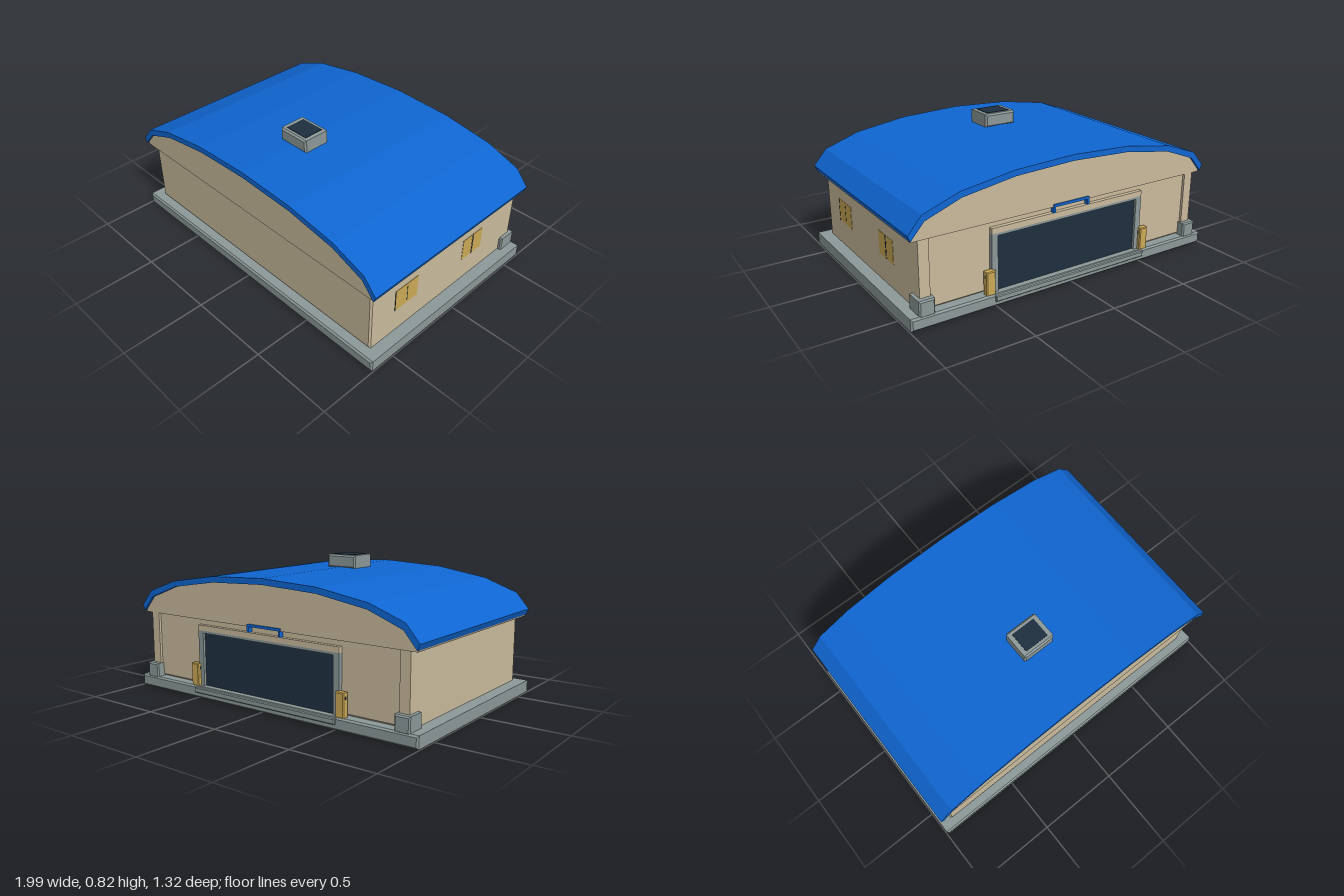
import * as THREE from 'three';

const mat = (name, color) => {
  const m = new THREE.MeshStandardMaterial({ color });
  m.name = name;
  return m;
};

export function createModel() {
  const root = new THREE.Group();
  root.name = 'hall';
  const beige = mat('beige wall', 0xc9ba9c);
  const grey = mat('concrete grey', 0x8c9898);
  const blue = mat('roof blue', 0x0f66d2);
  const dark = mat('dark glass', 0x1f2f3f);
  const yellow = mat('amber', 0xcba855);

  const add = (name, geometry, material) => {
    const mesh = new THREE.Mesh(geometry, material);
    mesh.name = name;
    root.add(mesh);
    return mesh;
  };

  // Box given by its limits, with optional chamfered edges
  const block = (name, material, [x0, x1], [y0, y1], [z0, z1], c = 0) => {
    const w = x1 - x0, h = y1 - y0, d = z1 - z0;
    let g;
    if (c) {
      const a = w / 2 - c, b = h / 2 - c;
      const s = new THREE.Shape([[-a, -b], [a, -b], [a, b], [-a, b]].map((p) => new THREE.Vector2(...p)));
      g = new THREE.ExtrudeGeometry(s, {
        depth: d - 2 * c, bevelEnabled: true, bevelSegments: 1, bevelSize: c, bevelThickness: c,
      });
      g.translate(0, 0, c - d / 2);
    } else {
      g = new THREE.BoxGeometry(w, h, d);
    }
    g.translate((x0 + x1) / 2, (y0 + y1) / 2, (z0 + z1) / 2);
    return add(name, g, material);
  };

  // Prism with an outline in x and y, running from z0 to z1
  const prism = (name, material, pts, z0, z1) => {
    const s = new THREE.Shape(pts.map((p) => new THREE.Vector2(...p)));
    const g = new THREE.ExtrudeGeometry(s, { depth: z1 - z0, bevelEnabled: false });
    return add(name, g.translate(0, 0, z0), material);
  };
  const mirrored = (half) => [...half, ...half.slice(0, -1).reverse().map(([x, y]) => [-x, y])];

  // Foundation and door sill
  block('foundation', grey, [-0.995, 0.995], [0, 0.07], [-0.645, 0.66], 0.01);
  block('doorSill', grey, [-0.51, 0.51], [0.033, 0.066], [-0.66, -0.6], 0.005);

  // Walls with corner pilasters on the back
  block('walls', beige, [-0.925, 0.925], [0.072, 0.475], [-0.592, 0.602], 0.01);
  for (const s of [-1, 1]) {
    const span = (a, b) => (s > 0 ? [a, b] : [-b, -a]);
    block('cornerPilaster', beige, span(0.865, 0.925), [0.07, 0.47], [-0.607, -0.55]);
    block('cornerPlinth', grey, span(0.855, 0.945), [0.06, 0.152], [-0.64, -0.522], 0.008);
    block('doorJamb', grey, span(0.472, 0.51), [0.066, 0.4], [-0.616, -0.58]);
    block('bollard', yellow, span(0.5, 0.555), [0.066, 0.203], [-0.638, -0.6], 0.005);
    for (const x of [0.499, 0.555]) {
      block('bollardMark', dark, span(x, x + 0.001), [0.165, 0.182], [-0.624, -0.614]);
    }
  }

  // Arched roof shell over a solid gable
  const outer = mirrored([[0.985, 0.508], [0.905, 0.6], [0.695, 0.675], [0.375, 0.725], [0, 0.742]]);
  const inner = mirrored([[0.97, 0.474], [0.892, 0.564], [0.687, 0.641], [0.37, 0.691], [0, 0.707]]);
  prism('roof', blue, [...outer, ...inner.slice().reverse()], -0.627, 0.642);
  prism('gable', beige, [[-0.965, 0.464], [0.965, 0.464], ...inner], -0.612, 0.63);

  // Rear door
  block('doorPanel', dark, [-0.472, 0.472], [0.066, 0.386], [-0.601, -0.59]);
  block('doorHeader', grey, [-0.472, 0.472], [0.386, 0.4], [-0.616, -0.58]);
  block('doorLintel', beige, [-0.51, 0.51], [0.4, 0.432], [-0.616, -0.58]);

  // Blue bracket above the door
  block('bracketBar', blue, [-0.12, 0.12], [0.465, 0.48], [-0.62, -0.6]);
  for (const x of [-0.12, 0.108]) {
    block('bracketLeg', blue, [x, x + 0.012], [0.432, 0.465], [-0.62, -0.59]);
  }

  // Side windows with thin dark bars
  for (const [z0, z1] of [[0.242, 0.418], [-0.317, -0.144]]) {
    block('sideWindow', yellow, [0.922, 0.927], [0.22, 0.356], [z0, z1]);
  }
  for (const [z, y0, y1] of [[0.417, 0.22, 0.356], [0.325, 0.24, 0.338], [-0.227, 0.22, 0.356], [-0.234, 0.22, 0.356]]) {
    block('windowBar', dark, [0.922, 0.928], [y0, y1], [z - 0.0015, z + 0.0015]);
  }

  // Roof skylight
  block('skylightBox', grey, [-0.102, 0.102], [0.735, 0.815], [0.095, 0.272], 0.01);
  block('skylightGlass', dark, [-0.076, 0.076], [0.812, 0.818], [0.121, 0.246]);

  return root;
}
